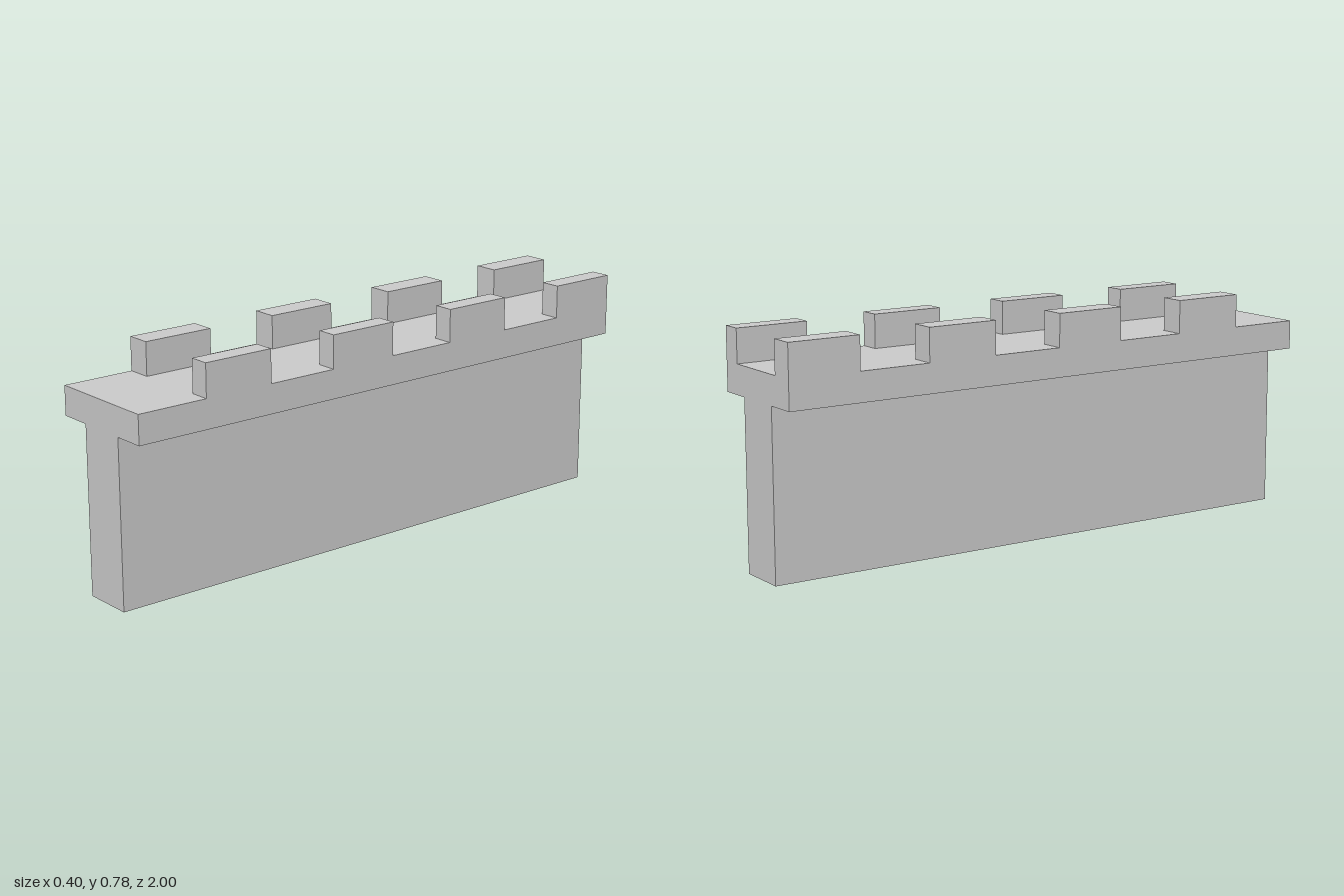
import * as THREE from 'three';

const LENGTH = 2, WALL = 0.088, DECK = 0.2;
const DECK_BOTTOM = 0.568, DECK_TOP = 0.667, MERLON_TOP = 0.78;

export function createModel() {
  const group = new THREE.Group();
  const material = new THREE.MeshStandardMaterial({ color: 0xcccccc, flatShading: true });

  // Wall with overhanging walkway: a T-shaped section run along z
  const section = new THREE.Shape([
    [-WALL, 0], [WALL, 0], [WALL, DECK_BOTTOM], [DECK, DECK_BOTTOM],
    [DECK, DECK_TOP], [-DECK, DECK_TOP], [-DECK, DECK_BOTTOM], [-WALL, DECK_BOTTOM],
  ].map(([x, y]) => new THREE.Vector2(x, y)));
  const wallGeometry = new THREE.ExtrudeGeometry(section, { depth: LENGTH, bevelEnabled: false });
  wallGeometry.translate(0, 0, -LENGTH / 2);
  const wall = new THREE.Mesh(wallGeometry, material);
  wall.name = 'wallAndWalkway';
  group.add(wall);

  // Battlements: four merlons per side, the right row slightly thicker
  const height = MERLON_TOP - DECK_TOP, merlonLength = LENGTH / 8;
  const rows = [
    { name: 'leftMerlon', side: 1, thickness: 0.07 },
    { name: 'rightMerlon', side: -1, thickness: 0.085 },
  ];
  for (const { name, side, thickness } of rows) {
    const geometry = new THREE.BoxGeometry(thickness, height, merlonLength);
    for (let i = 0; i < 4; i++) {
      const merlon = new THREE.Mesh(geometry, material);
      merlon.name = `${name}${i + 1}`;
      merlon.position.set(
        side * (DECK - thickness / 2),
        DECK_TOP + height / 2,
        -LENGTH / 2 + merlonLength * (2 * i + 0.5),
      );
      group.add(merlon);
    }
  }
  return group;
}
